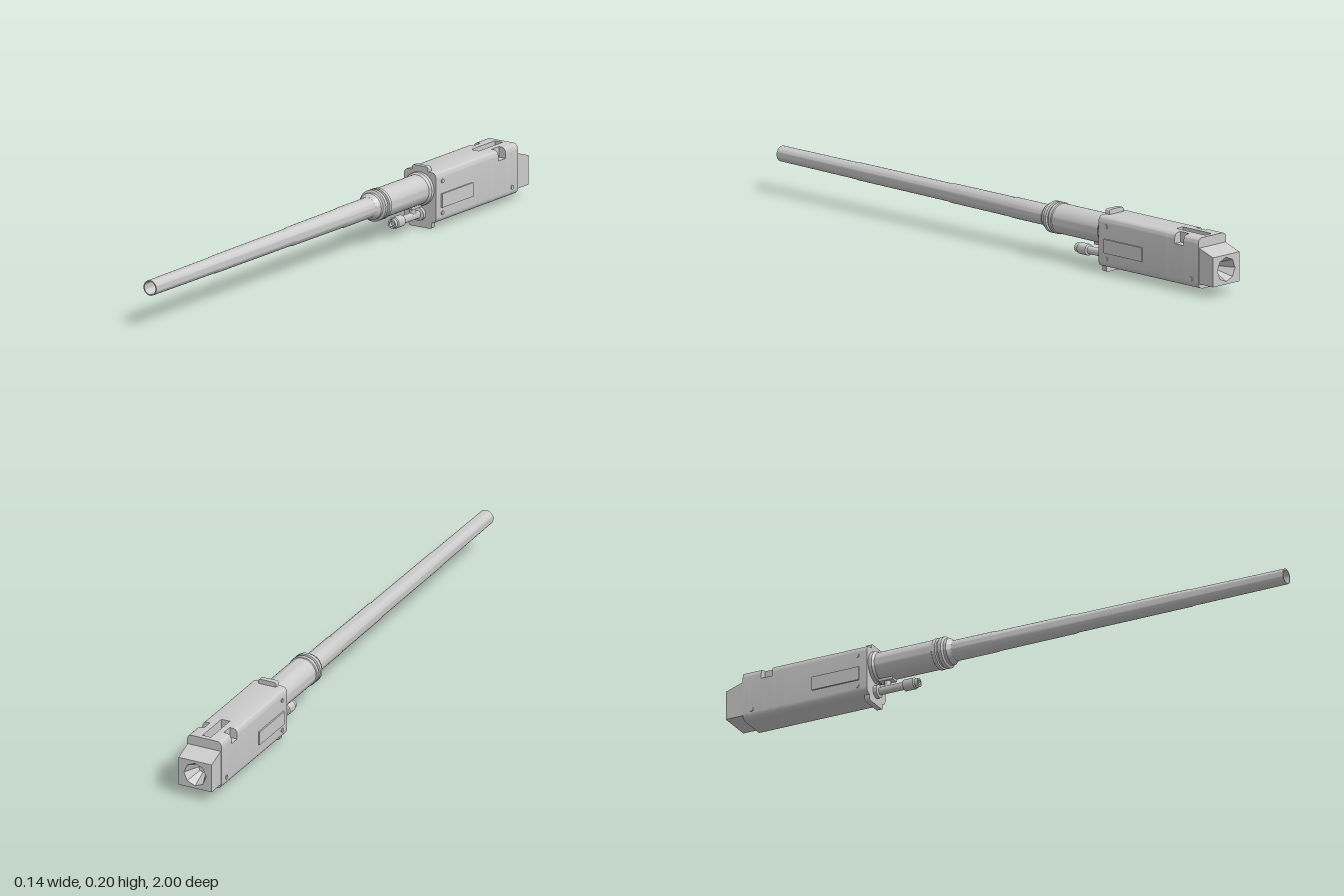
import * as THREE from 'three';
import { toCreasedNormals } from 'three/addons/utils/BufferGeometryUtils.js';

const mat = new THREE.MeshStandardMaterial({ color: 0xcccccc });
const matDouble = new THREE.MeshStandardMaterial({ color: 0xcccccc, side: THREE.DoubleSide });
const AXIS_Y = 0.128;

export function createModel() {
  const model = new THREE.Group();

  const add = (name, geo, x = 0, y = 0, z = 0, material = mat) => {
    const mesh = new THREE.Mesh(toCreasedNormals(geo, 0.6), material);
    mesh.name = name;
    mesh.position.set(x, y, z);
    model.add(mesh);
    return mesh;
  };
  const box = (name, w, h, d, x, y, z) => add(name, new THREE.BoxGeometry(w, h, d), x, y, z);
  // Turned part along z; profile is [radius, z]
  const turned = (name, profile, y, segments = 40, material = mat) => {
    const pts = profile.map(([r, z]) => new THREE.Vector2(r, z));
    return add(name, new THREE.LatheGeometry(pts, segments).rotateX(Math.PI / 2), 0, y, 0, material);
  };
  // Extrude an x-y shape between two z positions
  const slab = (name, shape, z0, z1) => add(name,
    new THREE.ExtrudeGeometry(shape, { depth: z1 - z0, bevelEnabled: false, curveSegments: 6 }), 0, 0, z0);

  // Receiver cross-section, with optional top slot and side notches
  const section = (slot, notch) => {
    const s = new THREE.Shape();
    const w = 0.063, b = 0.019, t = 0.187;
    s.moveTo(-0.042, b);
    s.lineTo(0.042, b);
    s.quadraticCurveTo(w, b + 0.001, w, b + 0.022);
    if (notch) {
      s.lineTo(w, 0.152);
      s.lineTo(0.036, 0.152);
      s.lineTo(0.036, t);
    } else {
      s.lineTo(w, t - 0.021);
      s.quadraticCurveTo(w, t, 0.044, t);
    }
    if (slot) {
      s.lineTo(0.015, t);
      s.lineTo(0.015, 0.152);
      s.lineTo(-0.015, 0.152);
      s.lineTo(-0.015, t);
    }
    if (notch) {
      s.lineTo(-0.036, t);
      s.lineTo(-0.036, 0.152);
      s.lineTo(-w, 0.152);
    } else {
      s.lineTo(-0.044, t);
      s.quadraticCurveTo(-w, t, -w, t - 0.021);
    }
    s.lineTo(-w, b + 0.022);
    s.quadraticCurveTo(-w, b + 0.001, -0.042, b);
    return s;
  };

  // Receiver housing, in slices so that the slot and notches are open
  [[-0.79, -0.5, false, false], [-0.83, -0.79, true, false], [-0.87, -0.83, true, true],
    [-0.92, -0.87, true, false], [-0.937, -0.92, false, false]]
    .forEach(([z0, z1, slot, notch], i) => slab('receiverSection' + (i + 1), section(slot, notch), z0, z1));

  // Front plate: receiver outline with a tab above and below
  slab('frontPlate', section(false, false), -0.505, -0.487);
  const tab = (name, w, y0, y1, dir) => {
    const s = new THREE.Shape();
    s.moveTo(-w, y0);
    s.lineTo(-w, y1 - dir * 0.009);
    s.quadraticCurveTo(-w, y1, -w + 0.009, y1);
    s.lineTo(w - 0.009, y1);
    s.quadraticCurveTo(w, y1, w, y1 - dir * 0.009);
    s.lineTo(w, y0);
    slab(name, s, -0.505, -0.487);
  };
  tab('topTab', 0.032, 0.18, 0.203, 1);
  tab('bottomTab', 0.045, 0.03, 0, -1);

  // Rear block with sloping top and an eight-sided opening
  const rear = new THREE.Shape();
  rear.moveTo(-0.06, 0.036);
  rear.lineTo(0.06, 0.036);
  rear.lineTo(0.06, 0.133);
  rear.lineTo(-0.06, 0.133);
  const hole = new THREE.Path();
  for (let i = 0; i <= 8; i++) {
    const a = (i / 8) * Math.PI * 2;
    const x = 0.04 * Math.sin(a), y = 0.085 + 0.04 * Math.cos(a);
    if (i) hole.lineTo(x, y); else hole.moveTo(x, y);
  }
  rear.holes.push(hole);
  const rearGeo = new THREE.ExtrudeGeometry(rear, { depth: 0.065, bevelEnabled: false });
  const p = rearGeo.attributes.position;
  for (let i = 0; i < p.count; i++) {
    if (p.getY(i) > 0.13 && p.getZ(i) > 0.03) p.setY(i, 0.155);
  }
  rearGeo.computeVertexNormals();
  add('rearBlock', rearGeo, 0, 0, -1);
  turned('rearFunnel', [[0.04, -1], [0.016, -0.945], [0, -0.945]], 0.085, 8, matDouble);

  // Side plates and pins
  for (const s of [-1, 1]) {
    box('sidePlate', 0.008, 0.046, 0.17, s * 0.064, 0.091, -0.6);
    for (const [y, z] of [[0.155, -0.522], [0.049, -0.522], [0.049, -0.905]]) {
      add('sidePin', new THREE.CylinderGeometry(0.007, 0.007, 0.006, 16).rotateZ(Math.PI / 2), s * 0.063, y, z);
    }
  }

  // Barrel jacket with its collar rings
  turned('barrelJacket', [[0, -0.5], [0.055, -0.5], [0.055, -0.475], [0.049, -0.468], [0.049, -0.262],
    [0.052, -0.26], [0.052, -0.248], [0.046, -0.246], [0.046, -0.24], [0.052, -0.238],
    [0.052, -0.226], [0.044, -0.222], [0.044, -0.212], [0.034, -0.198], [0, -0.198]], AXIS_Y);

  // Long stepped barrel, open at the muzzle
  turned('barrel', [[0.034, -0.22], [0.034, -0.05], [0.0325, -0.045], [0.0315, 0.23], [0.0295, 0.24],
    [0.0285, 0.65], [0.027, 0.66], [0.0255, 1], [0.0215, 1], [0.0205, 0.5], [0, 0.5]], AXIS_Y);

  // Small cylinder under the jacket with its hanger
  turned('lowerCylinder', [[0, -0.5], [0.022, -0.5], [0.022, -0.475], [0.013, -0.472], [0.013, -0.385],
    [0.019, -0.382], [0.019, -0.345], [0.015, -0.342], [0.015, -0.33], [0.009, -0.33],
    [0.009, -0.34], [0, -0.34]], 0.045, 24);
  add('hangerPost', new THREE.CylinderGeometry(0.011, 0.011, 0.045, 20), 0, 0.068, -0.445);
  box('hangerFoot', 0.03, 0.012, 0.05, 0, 0.078, -0.445);

  return model;
}
